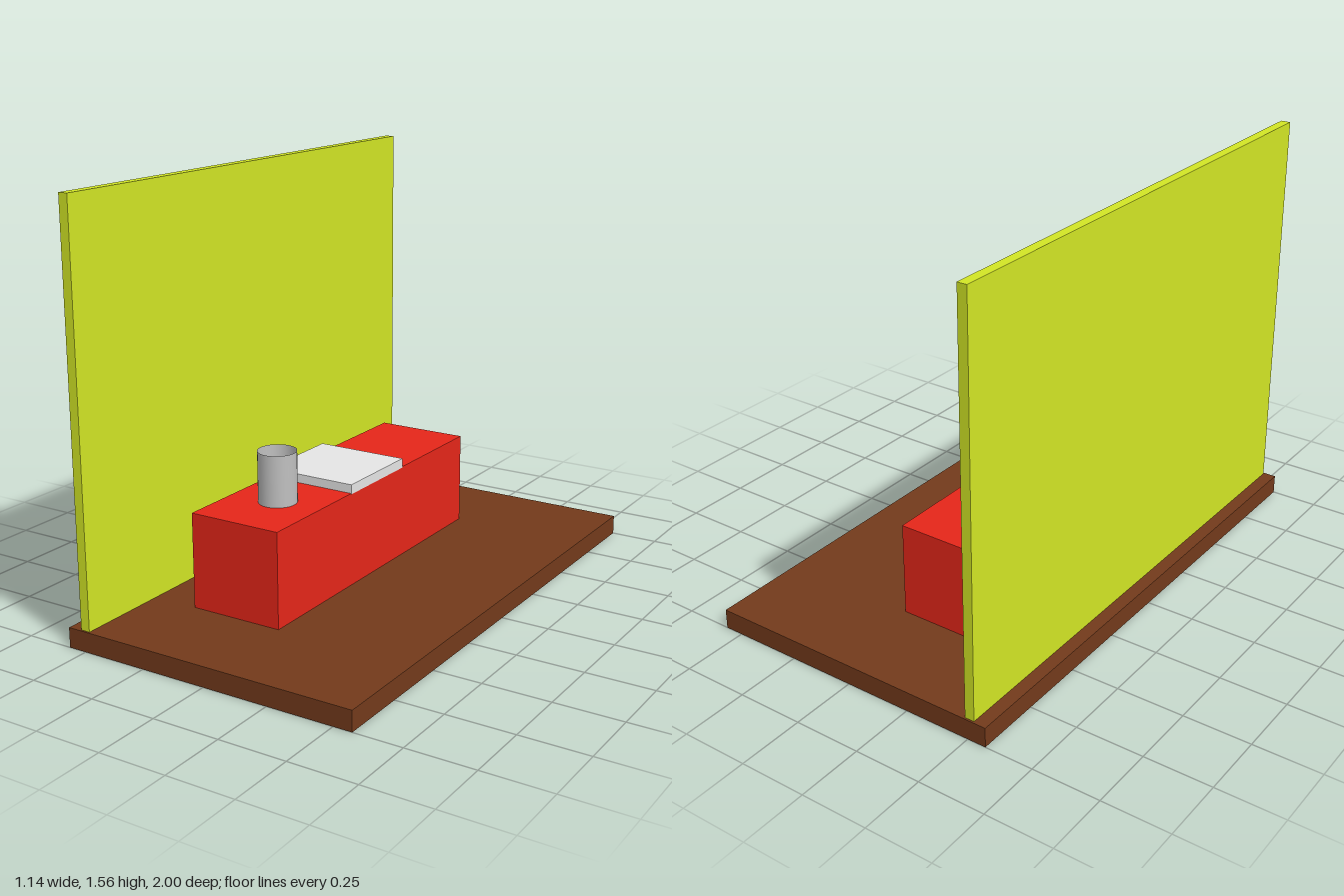
import * as THREE from 'three';

const material = (name, color, extra = {}) => {
  const m = new THREE.MeshStandardMaterial({ color, ...extra });
  m.name = name;
  return m;
};

// Box given by its lower and upper corners
function slab(name, mat, [x0, y0, z0], [x1, y1, z1]) {
  const mesh = new THREE.Mesh(new THREE.BoxGeometry(x1 - x0, y1 - y0, z1 - z0), mat);
  mesh.position.set((x0 + x1) / 2, (y0 + y1) / 2, (z0 + z1) / 2);
  mesh.name = name;
  return mesh;
}

export function createModel() {
  const brown = material('brown', 0x733a1b);
  const lime = material('lime green', 0xd2e625);
  const red = material('red', 0xe62619);
  const lightGrey = material('light grey', 0xe6e6e6);
  const grey = material('grey', 0xc0c0c0, { side: THREE.DoubleSide });

  const model = new THREE.Group();
  model.name = 'counterDisplay';

  // Floor, back wall and counter
  model.add(
    slab('floor', brown, [-0.57, 0, -1], [0.57, 0.074, 1]),
    slab('wall', lime, [-0.521, 0.074, -0.993], [-0.485, 1.56, 0.993]),
    slab('counter', red, [-0.312, 0.074, -0.64], [0.046, 0.425, 0.64]),
  );

  // Flat tray, standing a hair proud of the counter sides
  model.add(slab('tray', lightGrey, [-0.313, 0.422, -0.179], [0.047, 0.458, 0.179]));

  // Open-ended cup
  const cup = new THREE.Mesh(new THREE.CylinderGeometry(0.07, 0.07, 0.19, 32, 1, true), grey);
  cup.position.set(-0.128, 0.519, 0.386);
  cup.name = 'cup';
  model.add(cup);

  return model;
}
